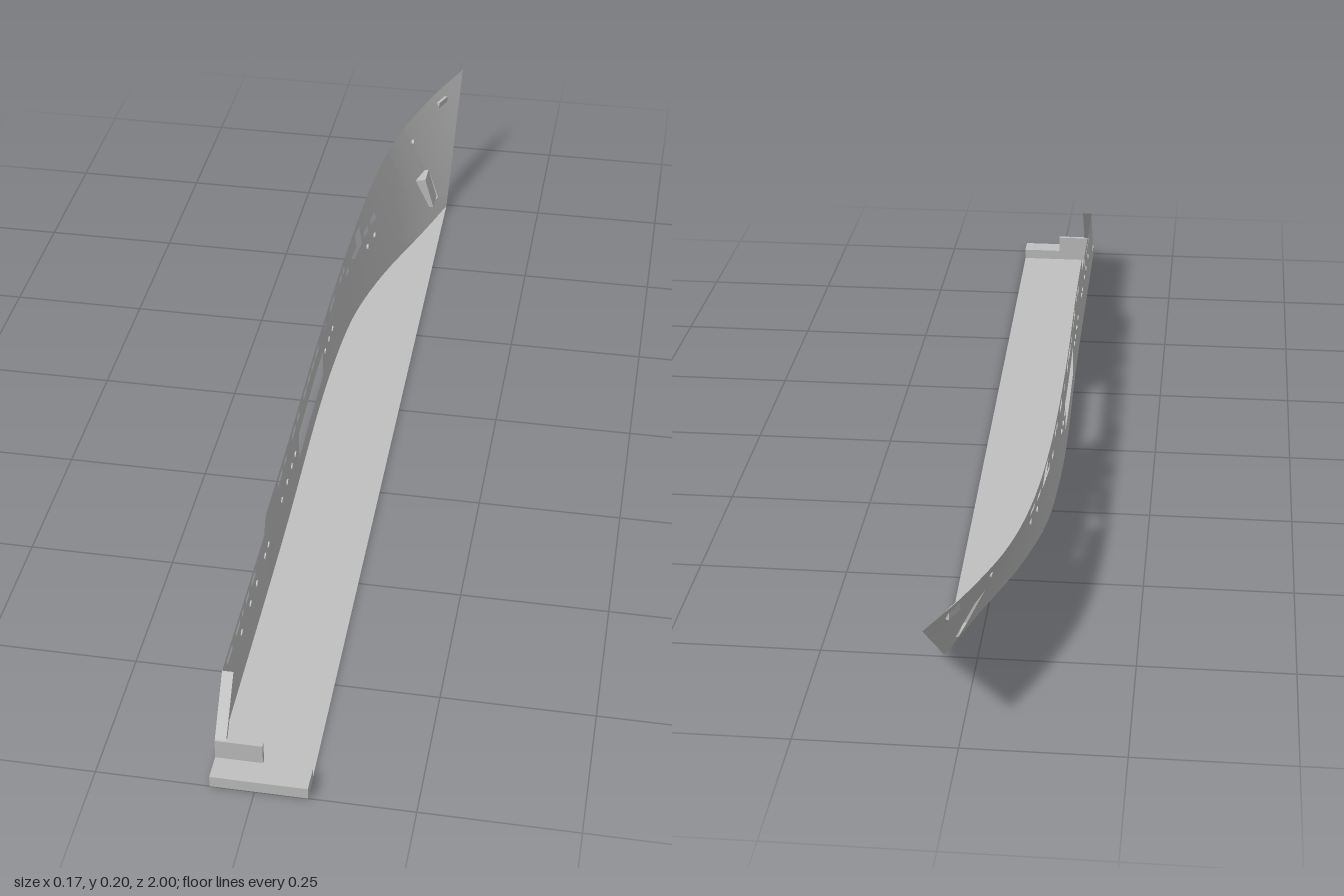
import * as THREE from 'three';
import { mergeVertices } from 'three/addons/utils/BufferGeometryUtils.js';

// Piecewise linear and smooth (cubic) lookups through [z, value] points
function find(pts, z) {
  let i = 0;
  while (i < pts.length - 2 && z > pts[i + 1][0]) i++;
  return i;
}
function linear(pts, z) {
  const i = find(pts, z), [a, b] = [pts[i], pts[i + 1]];
  const t = THREE.MathUtils.clamp((z - a[0]) / (b[0] - a[0]), 0, 1);
  return a[1] + (b[1] - a[1]) * t;
}
function smooth(pts, z) {
  const i = find(pts, z), [a, b] = [pts[i], pts[i + 1]], h = b[0] - a[0];
  const t = THREE.MathUtils.clamp((z - a[0]) / h, 0, 1);
  const slope = (k) => {
    const p = pts[Math.max(k - 1, 0)], q = pts[Math.min(k + 1, pts.length - 1)];
    return (q[1] - p[1]) / (q[0] - p[0]);
  };
  const t2 = t * t, t3 = t2 * t;
  return a[1] * (2 * t3 - 3 * t2 + 1) + slope(i) * h * (t3 - 2 * t2 + t)
    + b[1] * (3 * t2 - 2 * t3) + slope(i + 1) * h * (t3 - t2);
}

// Hull lines
const FOOT = -0.745, STERN = 0.958, TIP = 0.197;
const railLine = [[-1, 0.05], [-0.88, 0.002], [-0.725, -0.044], [-0.555, -0.069], [-0.32, -0.08],
  [0, -0.081], [0.4, -0.074], [0.96, -0.07]];
const chineLine = [[FOOT, 0.053], [-0.63, 0.018], [-0.46, -0.037], [-0.32, -0.068], [-0.2, -0.079],
  [0, -0.083], [0.4, -0.075], [0.96, -0.07]];
const topLine = [[-1, TIP], [-0.65, 0.181], [-0.3, 0.166], [0, 0.165], [0.545, 0.165], [0.56, 0.135],
  [0.89, 0.135], [STERN, 0.05]];
const centre = (z) => 0.053 + (0.03 * (z - FOOT)) / (1 - FOOT);
const bottomY = (z) => (z < FOOT ? ((FOOT - z) / (1 + FOOT)) * TIP : 0);
const topY = (z) => linear(topLine, z);

function hullX(z, y) {
  const low = bottomY(z), high = z > 0.5 ? 0.165 : topY(z);
  const t = high - low < 1e-5 ? 0 : THREE.MathUtils.clamp((y - low) / (high - low), 0, 1);
  const foot = z < FOOT ? 0.05 + 0.003 * (1 - low / TIP) : smooth(chineLine, z);
  return THREE.MathUtils.lerp(foot, smooth(railLine, z), t);
}

// Openings as [zMin, zMax, yMin, yMax]
const POCKET = [-0.735, -0.69, 0.028, 0.09];
const row = (y0, y1, spans) => spans.map(([a, b]) => [a, b, y0, y1]);
const openings = [
  [-0.02, 0.237, 0.045, 0.104],
  [-0.388, -0.35, 0.115, 0.155],
  POCKET,
  ...row(0.14, 0.153, [[0.4, 0.44], [0.36, 0.38], [0.27, 0.307], [0.233, 0.258], [0.158, 0.19],
    [0.115, 0.148], [0.073, 0.105], [0.03, 0.062], [-0.047, -0.036], [-0.142, -0.095],
    [-0.217, -0.195], [-0.243, -0.224]]),
  ...row(0.115, 0.128, [[-0.281, -0.259], [-0.348, -0.313], [-0.436, -0.409], [-0.489, -0.457]]),
  ...row(0.114, 0.125, [[0.885, 0.912], [0.815, 0.853], [0.757, 0.789], [0.73, 0.741],
    [0.687, 0.709], [0.634, 0.666]]),
];

function geometryFrom(positions, index) {
  let g = new THREE.BufferGeometry();
  g.setAttribute('position', new THREE.Float32BufferAttribute(positions, 3));
  g.setIndex(index);
  g = mergeVertices(g, 1e-5);
  g.computeVertexNormals();
  return g;
}

// Side shell: a grid that follows every opening edge and is clamped to the side outline
function sideGeometry() {
  const zs = new Set([FOOT, STERN, ...topLine.map((p) => p[0])]), ys = new Set();
  for (let i = 0; i <= 60; i++) zs.add(-1 + ((STERN + 1) * i) / 60);
  for (let i = 0; i <= 10; i++) ys.add((TIP * i) / 10);
  for (const [a, b, c, d] of openings) { zs.add(a).add(b); ys.add(c).add(d); }
  const Z = [...zs].sort((a, b) => a - b), Y = [...ys].sort((a, b) => a - b);
  const positions = [], index = [], n = Y.length;
  for (const z of Z) for (const v of Y) {
    const y = Math.min(Math.max(v, bottomY(z)), topY(z));
    positions.push(hullX(z, y), y, z);
  }
  for (let i = 0; i < Z.length - 1; i++) for (let j = 0; j < n - 1; j++) {
    const z = (Z[i] + Z[i + 1]) / 2, y = (Y[j] + Y[j + 1]) / 2;
    if (openings.some(([a, b, c, d]) => z > a && z < b && y > c && y < d)) continue;
    const p = i * n + j, q = p + n;
    index.push(p, q, q + 1, p, q + 1, p + 1);
  }
  return geometryFrom(positions, index);
}

// Flat bottom from the chine to the centreline
function bottomGeometry() {
  const positions = [], index = [], steps = 48;
  for (let i = 0; i <= steps; i++) {
    const z = FOOT + ((STERN - FOOT) * i) / steps;
    positions.push(hullX(z, 0), 0, z, centre(z), 0, z);
    if (i) { const p = 2 * i - 2; index.push(p, p + 2, p + 1, p + 1, p + 2, p + 3); }
  }
  return geometryFrom(positions, index);
}

// Flat-sided surface from a list of polygons
function facets(polygons) {
  const positions = [];
  for (const p of polygons) for (let i = 1; i < p.length - 1; i++) positions.push(...p[0], ...p[i], ...p[i + 1]);
  const g = new THREE.BufferGeometry();
  g.setAttribute('position', new THREE.Float32BufferAttribute(positions, 3));
  g.computeVertexNormals();
  return g;
}

export function createModel() {
  const model = new THREE.Group();
  model.name = 'halfHull';
  const grey = new THREE.MeshStandardMaterial({ color: 0xc0c0c0, side: THREE.DoubleSide });
  grey.name = 'hull grey';
  const add = (name, geometry, x = 0, y = 0, z = 0) => {
    const m = new THREE.Mesh(geometry, grey);
    m.name = name;
    m.position.set(x, y, z);
    model.add(m);
    return m;
  };

  add('hullSide', sideGeometry());
  add('hullBottom', bottomGeometry());

  // Stern platform, low transom wall and sloped bulwark return
  add('sternPlatform', new THREE.BoxGeometry(0.153, 0.02, 0.042), 0.0065, 0.01, 0.979);
  add('transomWall', new THREE.BoxGeometry(0.075, 0.036, 0.008), -0.0325, 0.037, 0.954);
  add('sternBulwark', facets([
    [[-0.07, 0.138, 0.89], [-0.07, 0.052, 0.957], [-0.052, 0.052, 0.957], [-0.052, 0.138, 0.89]],
    [[-0.052, 0.138, 0.89], [-0.052, 0.052, 0.957], [-0.052, 0.052, 0.947], [-0.052, 0.13, 0.886]],
  ]));

  // Anchor pocket: recess standing into the hull behind its opening
  const [za, zb, y0, y1] = POCKET;
  const section = (z) => [[hullX(z, y0), y0, z], [hullX(z, y1), y1, z], [0.014, y1 + 0.003, z], [0.032, y0, z]];
  const a = section(za), b = section(zb);
  add('anchorPocket', facets([a, b, ...[0, 1, 2].filter((i) => i > 0).map((i) => [a[i], b[i], b[i + 1], a[i + 1]]),
    [a[3], b[3], b[0], a[0]]]));

  // Portholes and bow fairleads, raised slightly through the shell
  const disc = new THREE.CylinderGeometry(0.006, 0.006, 0.005, 12).rotateZ(Math.PI / 2);
  for (const z of [0.75, 0.68, 0.63, 0.56, 0.53, 0.41, 0.36, 0.315, 0.28, -0.04, -0.08, -0.116, -0.415, -0.46]) {
    add('porthole', disc, hullX(z, 0.09), 0.09, z);
  }
  add('bowPort', disc, hullX(-0.745, 0.15), 0.15, -0.745);
  const slot = add('bowFairlead', new THREE.BoxGeometry(0.006, 0.013, 0.035), hullX(-0.893, 0.17), 0.17, -0.893);
  slot.rotation.y = -0.38;
  return model;
}
